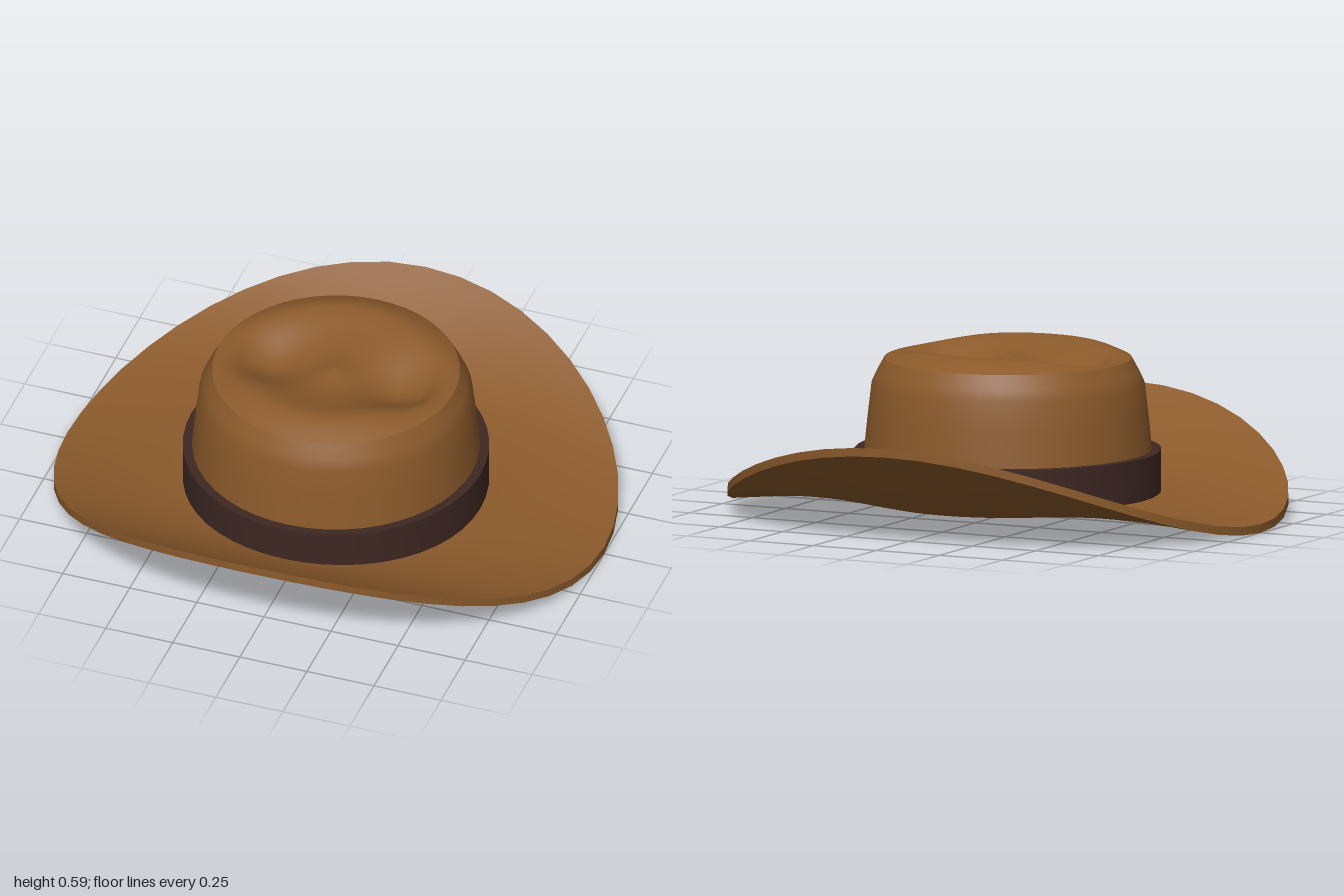
import * as THREE from 'three';

const SEG = 48;

// Closed ring surface: at(i, angle) gives [x, y, z]; rows run outward on top, then down, then inward.
function ringSurface(rows, at) {
  const pos = [], index = [];
  for (let i = 0; i < rows; i++) {
    for (let j = 0; j < SEG; j++) pos.push(...at(i, (j / SEG) * Math.PI * 2));
  }
  for (let i = 0; i < rows - 1; i++) {
    for (let j = 0; j < SEG; j++) {
      const k = (j + 1) % SEG;
      const a = i * SEG + j, b = i * SEG + k, c = a + SEG, d = b + SEG;
      index.push(a, b, c, b, d, c);
    }
  }
  const g = new THREE.BufferGeometry();
  g.setAttribute('position', new THREE.Float32BufferAttribute(pos, 3));
  g.setIndex(index);
  g.computeVertexNormals();
  return g;
}

// Surface of revolution from [radius, height] points
const turned = (pts) => ringSurface(pts.length, (i, a) =>
  [pts[i][0] * Math.cos(a), pts[i][1], pts[i][0] * Math.sin(a)]);

export function createModel() {
  const hat = new THREE.Group();
  hat.name = 'hat';
  const felt = new THREE.MeshStandardMaterial({ color: 0x8b5a2b });
  felt.name = 'brownFelt';
  const leather = new THREE.MeshStandardMaterial({ color: 0x3e2723 });
  leather.name = 'darkLeather';

  const add = (parent, name, geometry, material) => {
    const mesh = new THREE.Mesh(geometry, material);
    mesh.name = name;
    parent.add(mesh);
  };
  const group = (name) => {
    const g = new THREE.Group();
    g.name = name;
    hat.add(g);
    return g;
  };

  // Brim: front and back curl up, the sides droop a little
  const inner = 0.48, thick = 0.03;
  const brimPoint = (t, lift, a) => {
    const r = inner + (1 - inner) * t;
    const s = Math.sin(a);
    const y = 0.06 + lift + Math.pow(t, 1.25) * (0.32 * s * s - 0.055);
    return [r * Math.cos(a), y, r * s * (1 - 0.07 * t)];
  };
  const brim = group('brim');
  const n = 13;
  add(brim, 'brimTop', ringSurface(n, (i, a) => brimPoint(i / (n - 1), thick, a)), felt);
  add(brim, 'brimEdge', ringSurface(2, (i, a) => brimPoint(1, i ? 0 : thick, a)), felt);
  add(brim, 'brimUnderside', ringSurface(n, (i, a) => brimPoint(1 - i / (n - 1), 0, a)), felt);
  add(brim, 'brimInnerEdge', ringSurface(2, (i, a) => brimPoint(0, i ? thick : 0, a)), felt);

  // Crown: tapered wall, rounded shoulder, closed base
  const crown = group('crown');
  add(crown, 'crownWall', turned([[0.435, 0.56], [0.462, 0.51], [0.48, 0.47],
    [0.493, 0.36], [0.506, 0.235], [0.52, 0.088]]), felt);
  add(crown, 'crownBase', turned([[0.52, 0.088], [0, 0.088]]), felt);

  // Crown top: raised front and back, with a pinch on each side
  const topProfile = new THREE.SplineCurve([[0, 0.57], [0.1, 0.557], [0.2, 0.572],
    [0.3, 0.598], [0.36, 0.594], [0.435, 0.56]].map((p) => new THREE.Vector2(...p)));
  const m = 21;
  add(crown, 'crownTop', ringSurface(m, (i, a) => {
    const p = topProfile.getPoint(i / (m - 1));
    const r = i ? p.x : 0.0005;
    const x = r * Math.cos(a), z = r * Math.sin(a);
    const pinch = Math.exp(-(((Math.abs(x) - 0.27) / 0.15) ** 2) - (z / 0.15) ** 2);
    const fade = Math.min(1, (0.435 - r) / 0.1);
    return [x, p.y - 0.085 * pinch * fade, z];
  }), felt);

  // Hat band
  const band = group('hatBand');
  add(band, 'bandTop', turned([[0.495, 0.237], [0.538, 0.237]]), leather);
  add(band, 'bandSide', turned([[0.538, 0.237], [0.538, 0.08]]), leather);

  return hat;
}
